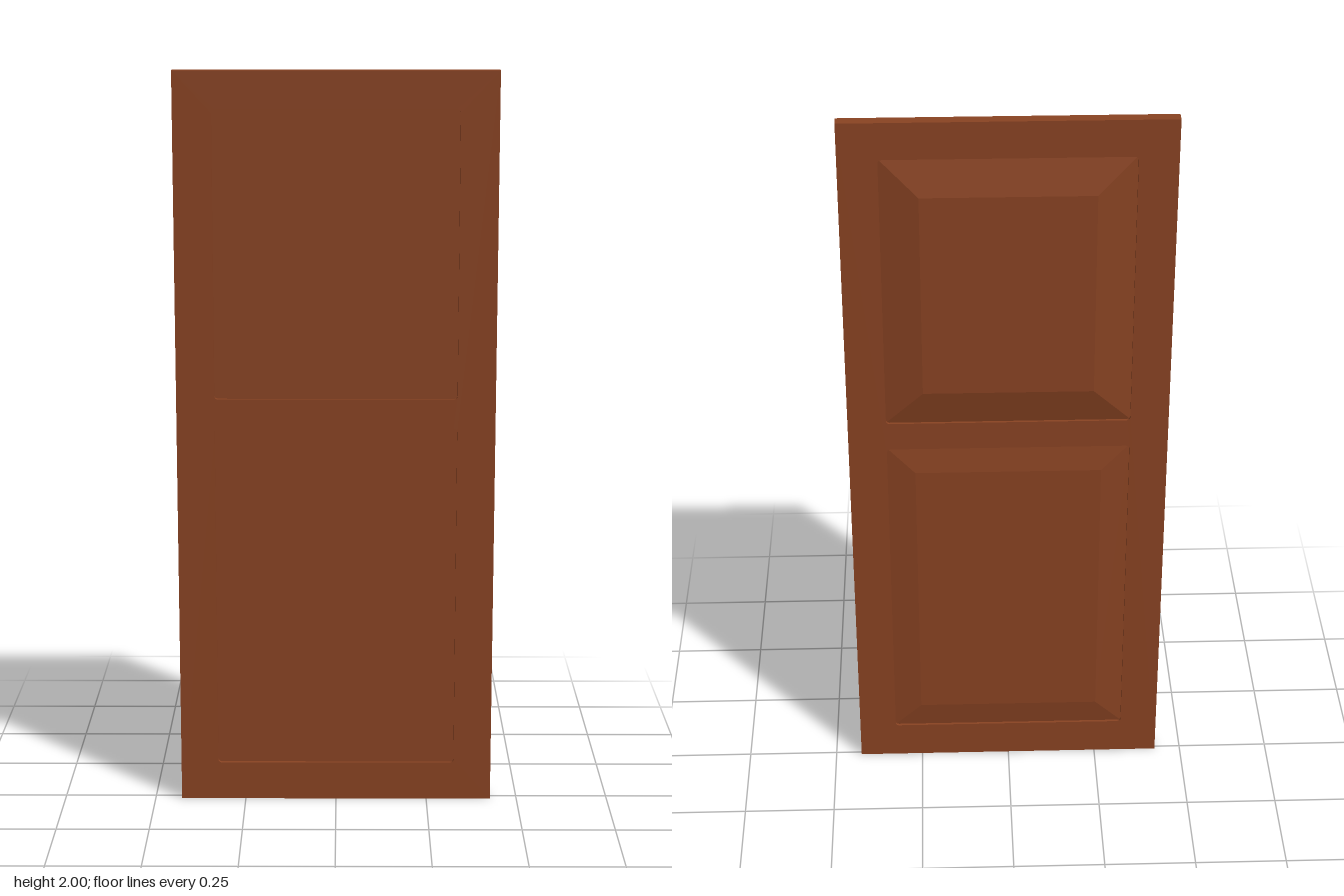
import * as THREE from 'three';

const WIDTH = 0.854, HEIGHT = 2, FRONT = 0.022, BACK = -0.01;
const OPENING_HALF = 0.325;
const RECESS_FRONT = 0.012, RECESS_BACK = -0.003;

// Raised panels: opening bottom and top, bevel width, depth of the raised field
const PANELS = [
  { name: 'upperPanel', bottom: 1.13, top: 1.9, bevel: 0.1, back: -0.023 },
  { name: 'lowerPanel', bottom: 0.105, top: 1.05, bevel: 0.075, back: -0.0125 },
];

// Rectangular opening with slightly rounded corners
function openingPath(x0, y0, x1, y1, r) {
  const p = new THREE.Path();
  p.absarc(x0 + r, y0 + r, r, Math.PI, Math.PI * 1.5);
  p.absarc(x1 - r, y0 + r, r, Math.PI * 1.5, Math.PI * 2);
  p.absarc(x1 - r, y1 - r, r, 0, Math.PI / 2);
  p.absarc(x0 + r, y1 - r, r, Math.PI / 2, Math.PI);
  p.closePath();
  return p;
}

// Slab that is flat in front and slopes up to a raised field behind
function panelGeometry({ bottom, top, bevel, back }) {
  const w = OPENING_HALF * 2, h = top - bottom;
  const box = new THREE.BoxGeometry(w, h, 2, 1, 1, 2);
  const pos = box.attributes.position;
  for (let i = 0; i < pos.count; i++) {
    const layer = Math.round(pos.getZ(i));
    if (layer === 1) pos.setZ(i, RECESS_FRONT);
    else if (layer === 0) pos.setZ(i, RECESS_BACK);
    else {
      pos.setXYZ(i,
        Math.sign(pos.getX(i)) * (w / 2 - bevel),
        Math.sign(pos.getY(i)) * (h / 2 - bevel),
        back);
    }
  }
  const geo = box.toNonIndexed();
  geo.computeVertexNormals();
  geo.translate(0, (bottom + top) / 2, 0);
  return geo;
}

export function createModel() {
  const door = new THREE.Group();
  door.name = 'panelledDoor';
  const wood = new THREE.MeshStandardMaterial({ color: 0x8b4423 });
  wood.name = 'reddish brown wood';

  // Frame with two openings
  const outline = new THREE.Shape([
    new THREE.Vector2(-WIDTH / 2, 0), new THREE.Vector2(WIDTH / 2, 0),
    new THREE.Vector2(WIDTH / 2, HEIGHT), new THREE.Vector2(-WIDTH / 2, HEIGHT),
  ]);
  for (const p of PANELS) {
    outline.holes.push(openingPath(-OPENING_HALF, p.bottom, OPENING_HALF, p.top, 0.01));
  }
  const frameGeo = new THREE.ExtrudeGeometry(outline, {
    depth: FRONT - BACK, bevelEnabled: false, curveSegments: 4,
  });
  frameGeo.translate(0, 0, BACK);
  const frame = new THREE.Mesh(frameGeo, wood);
  frame.name = 'frame';
  door.add(frame);

  // Panels set into the openings
  for (const p of PANELS) {
    const panel = new THREE.Mesh(panelGeometry(p), wood);
    panel.name = p.name;
    door.add(panel);
  }
  return door;
}
